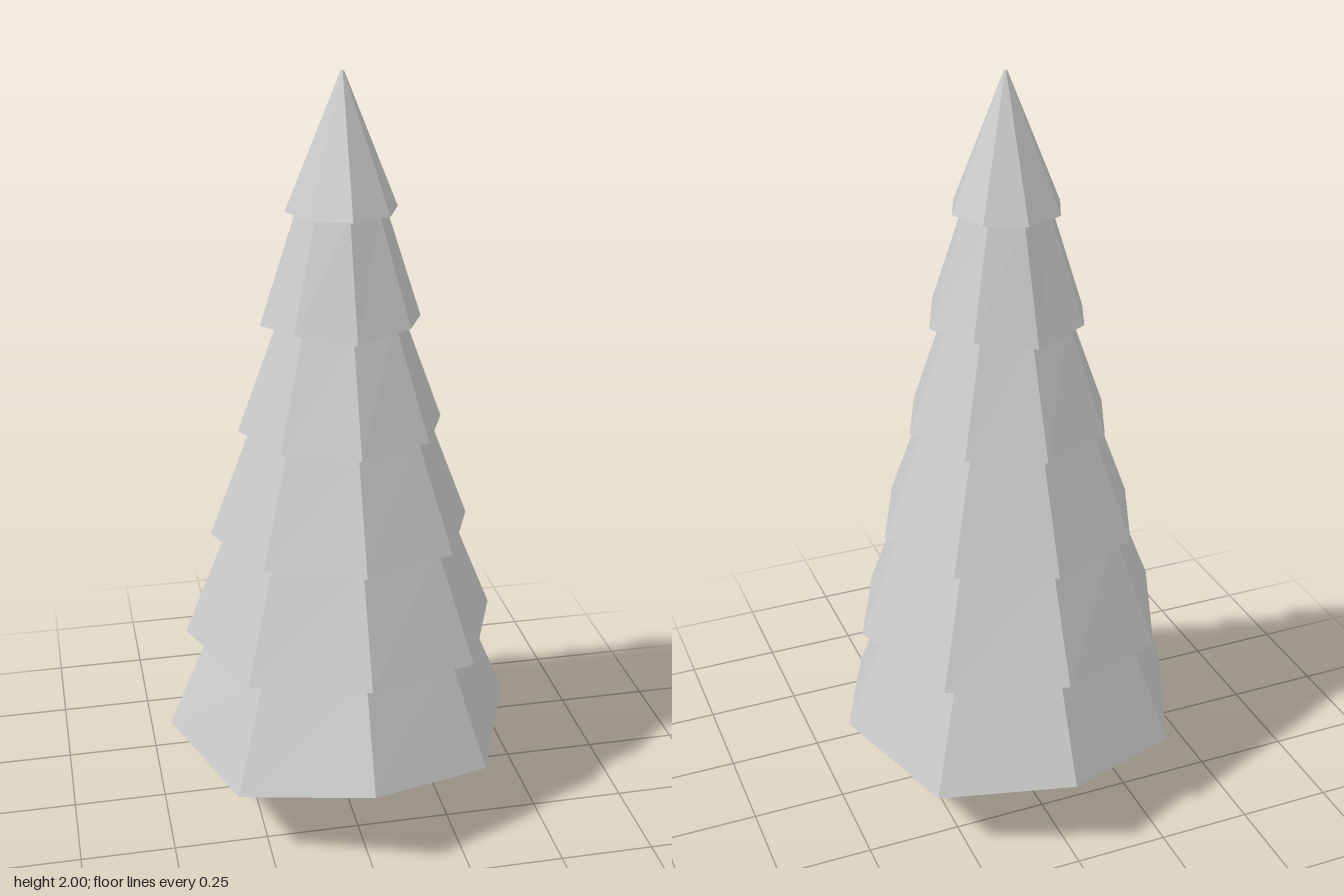
import * as THREE from 'three';

const SIDES = 8;

// Skins eight-sided rings, listed from bottom to top.
// Ring: [radius, height at even corners, height at odd corners, centre x, rise towards the front]
function loft(name, rings) {
  const corner = (ring, i) => {
    const [r, yEven, yOdd = yEven, cx = 0, tilt = 0] = ring;
    const a = (i % SIDES) * Math.PI * 2 / SIDES;
    const z = r * Math.cos(a);
    return [cx + r * Math.sin(a), (i % 2 ? yOdd : yEven) + tilt * z, z];
  };
  const positions = [];
  for (let j = 0; j < rings.length - 1; j++) {
    const [low, high] = [rings[j], rings[j + 1]];
    for (let i = 0; i < SIDES; i++) {
      const a = corner(low, i), b = corner(low, i + 1);
      const c = corner(high, i + 1), d = corner(high, i);
      if (low[0] > 0) positions.push(...a, ...b, ...c);
      if (high[0] > 0) positions.push(...a, ...c, ...d);
    }
  }
  const geometry = new THREE.BufferGeometry();
  geometry.setAttribute('position', new THREE.Float32BufferAttribute(positions, 3));
  geometry.computeVertexNormals();
  const material = new THREE.MeshStandardMaterial({ color: 0xcccccc, flatShading: true });
  const mesh = new THREE.Mesh(geometry, material);
  mesh.name = name;
  return mesh;
}

export function createModel() {
  const tree = new THREE.Group();
  tree.name = 'firTree';

  // Trunk: flared foot, narrow waist
  tree.add(loft('trunk', [
    [0, 0, 0, 0.01],
    [0.11, 0, 0, 0.01],
    [0.083, 0.135, 0.135, 0.005],
    [0.097, 0.235, 0.235, 0.01],
  ]));

  // Tiers: hem radius, hem height at even and odd corners, radius where the next tier covers it
  const tiers = [
    [0.472, 0.235, 0.192, 0.348],
    [0.421, 0.517, 0.495, 0.303],
    [0.347, 0.8, 0.798, 0.235],
    [0.269, 1.088, 1.092, 0.163],
    [0.208, 1.37, 1.385, 0.112],
    [0.143, 1.66, 1.66, 0],
  ];
  const rings = [[0, 0.232], [0.4, 0.232, 0.222]]; // recessed underside
  tiers.forEach(([hem, yEven, yOdd, neck], k) => {
    const cx = -0.002 + 0.0012 * k;
    rings.push([hem, yEven, yOdd, cx, 0.016]);
    const next = tiers[k + 1];
    if (next) rings.push([neck, next[1] + 0.008, next[2] + 0.008, cx, 0.016]);
    else rings.push([0.004, 2, 2, 0.006], [0, 2, 2, 0.006]);
  });
  tree.add(loft('foliage', rings));

  return tree;
}
